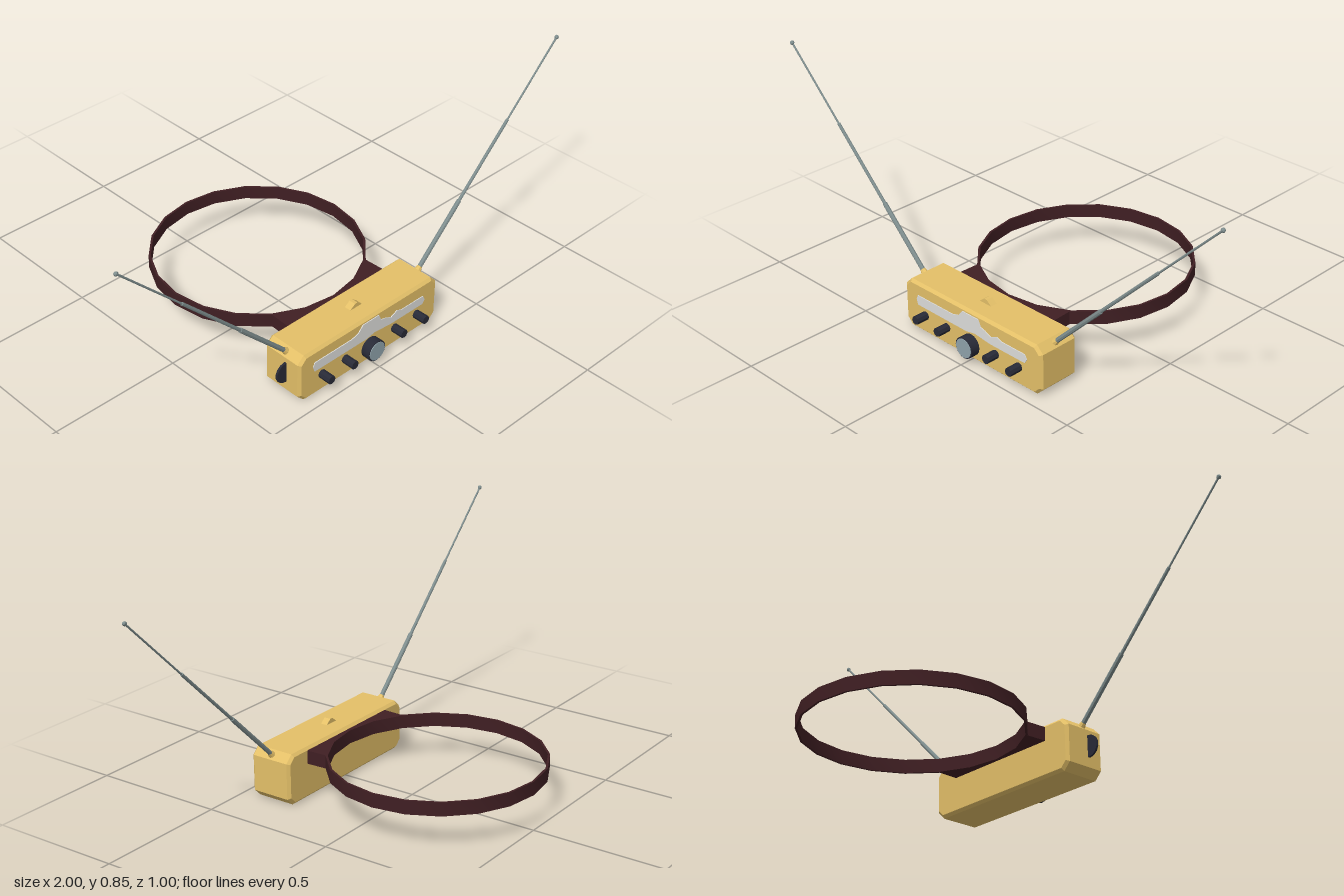
import * as THREE from 'three';
import { toCreasedNormals } from 'three/addons/utils/BufferGeometryUtils.js';

const mat = (name, color) => {
  const m = new THREE.MeshStandardMaterial({ color });
  m.name = name;
  return m;
};

export function createModel() {
  const group = new THREE.Group();
  const gold = mat('gold', 0xe4c068);
  const leather = mat('dark brown', 0x401f23);
  const steel = mat('antenna grey', 0x7f8e8e);
  const black = mat('knob black', 0x282a37);
  const blueGrey = mat('dial blue grey', 0x8fa2aa);
  const silver = mat('panel silver', 0xdededc);

  const add = (name, geo, material, x = 0, y = 0, z = 0, parent = group) => {
    const m = new THREE.Mesh(toCreasedNormals(geo, 0.5), material);
    m.name = name;
    m.position.set(x, y, z);
    parent.add(m);
    return m;
  };
  const shapeOf = pts => new THREE.Shape(pts.map(p => new THREE.Vector2(...p)));

  // Body: chamfered block with a small bevel front and back
  const b = 0.01, w = 0.324, c = 0.022;
  const outline = shapeOf([
    [-w + c, b], [w - c, b], [w, b + c], [w, 0.18 - c], [w - c, 0.18],
    [-w + c, 0.18], [-w, 0.18 - c], [-w, b + c],
  ]);
  add('body', new THREE.ExtrudeGeometry(outline, {
    depth: 0.145, bevelEnabled: true, bevelSize: b, bevelThickness: b, bevelSegments: 1,
  }), gold, 0, 0, 0.295);

  // Small ridge on the top
  const ridge = shapeOf([[-0.03, 0.188], [0.03, 0.188], [0.006, 0.207], [-0.006, 0.207]]);
  add('topRidge', new THREE.ExtrudeGeometry(ridge, { depth: 0.026, bevelEnabled: false }), gold, 0, 0, 0.355);

  // Silver front panel
  const panel = shapeOf([
    [-0.265, 0.105], [-0.02, 0.104], [0.02, 0.112], [0.1, 0.104], [0.26, 0.104], [0.27, 0.12],
    [0.26, 0.137], [0.15, 0.137], [0.13, 0.146], [0.1, 0.132], [0.07, 0.145], [0.05, 0.15],
    [0.038, 0.175], [-0.038, 0.175], [-0.06, 0.15], [-0.09, 0.142], [-0.265, 0.142], [-0.272, 0.125],
  ]);
  add('frontPanel', new THREE.ExtrudeGeometry(panel, { depth: 0.004, bevelEnabled: false }), silver, 0, 0, 0.449);

  // Front knobs
  const disc = (r, h, n) => new THREE.CylinderGeometry(r, r, h, n).rotateX(Math.PI / 2);
  for (const x of [-0.23, -0.12, 0.12, 0.23]) add('knob', disc(0.016, 0.05, 8), black, x, 0.075, 0.474);
  add('mainDial', disc(0.04, 0.036, 16), black, 0, 0.06, 0.467);
  add('mainDialFace', disc(0.036, 0.004, 16), blueGrey, 0, 0.06, 0.4855);

  // Thumb wheel, half sunk in the right end
  add('thumbWheel', disc(0.04, 0.008, 14), black, -0.337, 0.103, 0.385);

  // Neck strap: thin 20-sided band
  const R = 0.389, cz = -0.109;
  const profile = [[R - 0.008, 0.13], [R, 0.13], [R, 0.18], [R - 0.008, 0.18], [R - 0.008, 0.13]];
  add('strap', new THREE.LatheGeometry(profile.map(p => new THREE.Vector2(...p)), 20), leather, 0, 0, cz);

  // Mount filling the gap between strap and body
  const mount = [[0.23, -0.29], [-0.23, -0.29]];
  for (let i = -2; i <= 2; i++) {
    const a = i * Math.PI / 10;
    mount.push([(R - 0.004) * Math.sin(a), -(cz + (R - 0.004) * Math.cos(a))]);
  }
  const mountGeo = new THREE.ExtrudeGeometry(shapeOf(mount), { depth: 0.05, bevelEnabled: false });
  add('strapMount', mountGeo.rotateX(-Math.PI / 2), leather, 0, 0.13, 0);

  // Telescopic antennas, one on each top corner
  for (const s of [-1, 1]) {
    const antenna = new THREE.Group();
    antenna.name = s > 0 ? 'leftAntenna' : 'rightAntenna';
    antenna.position.set(s * 0.322, 0.178, 0.37);
    antenna.rotation.z = -s * Math.PI / 4;
    add('antennaSocket', new THREE.CylinderGeometry(0.009, 0.015, 0.02, 8), gold, 0, 0.002, 0, antenna);
    const rods = [[0, 0.28, 0.0085], [0.28, 0.61, 0.006], [0.61, 0.945, 0.0035]];
    for (const [y0, y1, r] of rods) {
      add('antennaRod', new THREE.CylinderGeometry(r, r, y1 - y0, 8), steel, 0, (y0 + y1) / 2, 0, antenna);
    }
    add('antennaTip', new THREE.SphereGeometry(0.008, 8, 6), steel, 0, 0.946, 0, antenna);
    group.add(antenna);
  }
  return group;
}
